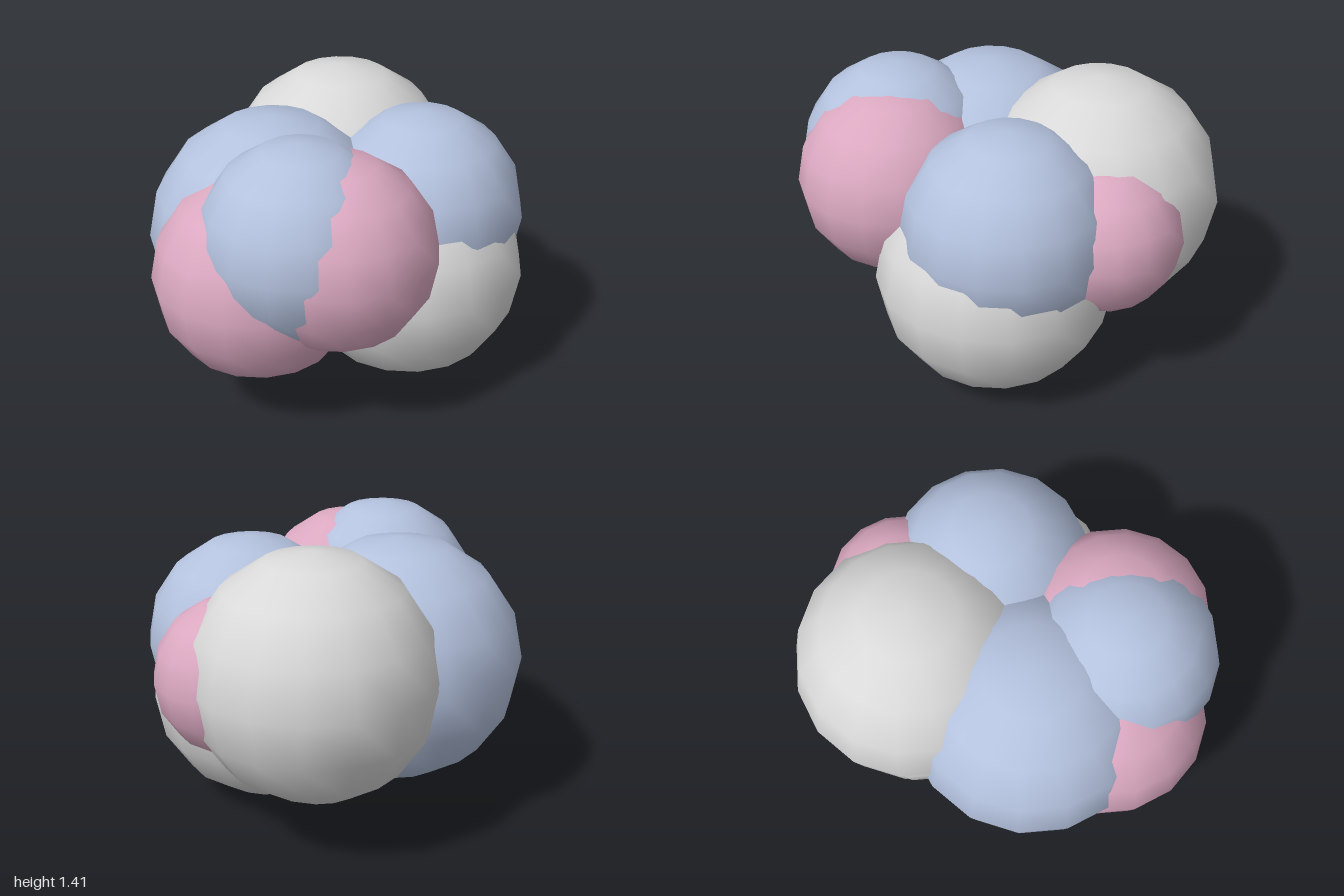
import * as THREE from 'three';

// A cluster of overlapping balls in three colours.
export function createModel() {
  const group = new THREE.Group();
  group.name = 'ballCluster';

  const make = (name, color) => {
    const m = new THREE.MeshStandardMaterial({ color });
    m.name = name;
    return m;
  };
  const grey = make('light grey', 0xd9d9d9);
  const blue = make('soft blue', 0xb4c2de);
  const pink = make('soft pink', 0xdba9c1);

  // name, material, centre x, y, z, radius
  const balls = [
    ['frontLowerBall', grey, 0.22, 0.565, 0.29, 0.565],
    ['frontUpperBall', blue, 0.3, 0.84, 0.3, 0.5],
    ['backLeftBall', grey, 0.395, 0.825, -0.27, 0.585],
    ['backLeftInnerBall', grey, 0.36, 0.79, -0.265, 0.57],
    ['backRightBall', blue, -0.2, 0.745, -0.21, 0.6],
    ['upperRightBall', blue, -0.46, 0.93, 0.18, 0.47],
    ['frontRightBall', pink, -0.37, 0.88, 0.32, 0.463],
    ['sideRightBall', pink, -0.5, 0.7, -0.04, 0.5],
    ['sideLeftBall', pink, 0.625, 0.8, 0.01, 0.375],
  ];

  // Sixteen-sided balls with smooth shading
  const unitBall = new THREE.SphereGeometry(1, 16, 8);
  for (const [name, material, x, y, z, r] of balls) {
    const ball = new THREE.Mesh(unitBall, material);
    ball.name = name;
    ball.position.set(x, y, z);
    ball.scale.setScalar(r);
    group.add(ball);
  }
  return group;
}
